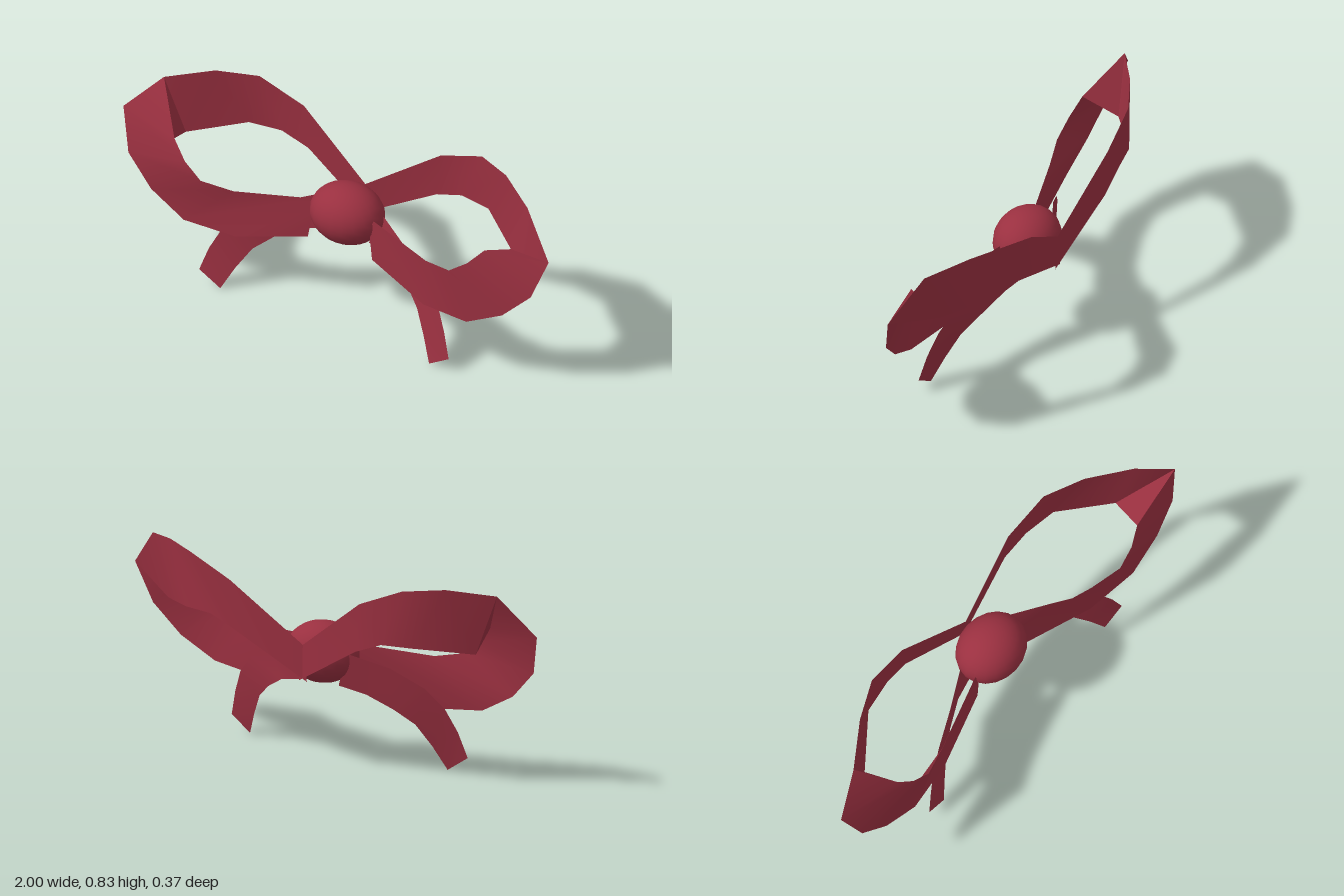
import * as THREE from 'three';
import { toCreasedNormals } from 'three/addons/utils/BufferGeometryUtils.js';

// Ribbon strip between two edges; side = -1 mirrors it across x = 0
function ribbon(sections, side, flipDiagonal) {
  const pos = [], idx = [];
  for (const [outer, inner] of sections) {
    for (const [x, y, z] of [outer, inner]) pos.push(x * side, y, z);
  }
  for (let i = 0; i < sections.length - 1; i++) {
    const a = 2 * i, b = a + 1, c = a + 2, d = a + 3;
    const tri = flipDiagonal ? [a, b, d, a, d, c] : [a, b, c, b, d, c];
    if (side < 0) tri.reverse();
    idx.push(...tri);
  }
  const g = new THREE.BufferGeometry();
  g.setAttribute('position', new THREE.Float32BufferAttribute(pos, 3));
  g.setIndex(idx);
  return toCreasedNormals(g, 0.7);
}

// Loop: from the back of the knot, round the outer tip, to the front
const loopSections = (tipZ) => [
  [[0.0, 0.51, -0.13], [-0.02, 0.36, -0.13]],
  [[0.32, 0.74, -0.185], [0.3, 0.54, -0.185]],
  [[0.52, 0.82, -0.172], [0.42, 0.585, -0.178]],
  [[0.68, 0.835, -0.095], [0.56, 0.587, -0.155]],
  [[0.85, 0.81, 0.02], [0.76, 0.56, 0.0]],
  [[1.0, 0.65, tipZ], [0.725, 0.632, 0.145]],
  [[0.94, 0.48, 0.145], [0.66, 0.56, 0.172]],
  [[0.82, 0.36, 0.168], [0.58, 0.5, 0.182]],
  [[0.66, 0.275, 0.18], [0.45, 0.475, 0.145]],
  [[0.44, 0.257, 0.148], [0.15, 0.497, 0.052]],
  [[0.15, 0.315, 0.065], [0.13, 0.45, 0.055]],
];

// Hanging tail: upper edge, lower edge
const tailSections = [
  [[0.14, 0.475, -0.03], [0.09, 0.33, -0.01]],
  [[0.3, 0.42, 0.05], [0.21, 0.305, 0.015]],
  [[0.43, 0.345, 0.105], [0.31, 0.25, 0.06]],
  [[0.505, 0.265, 0.14], [0.385, 0.19, 0.105]],
  [[0.55, 0.17, 0.167], [0.44, 0.1, 0.145]],
  [[0.583, 0.065, 0.188], [0.488, 0.003, 0.182]],
];

export function createModel() {
  const group = new THREE.Group();
  const red = new THREE.MeshStandardMaterial({ color: 0x9a3040, side: THREE.DoubleSide });
  red.name = 'dark red ribbon';
  const add = (name, geometry) => {
    const mesh = new THREE.Mesh(geometry, red);
    mesh.name = name;
    group.add(mesh);
    return mesh;
  };

  for (const side of [1, -1]) {
    const label = side > 0 ? 'left' : 'right';
    add(label + 'Loop', ribbon(loopSections(side > 0 ? 0.105 : 0.085), side, side < 0));
    add(label + 'Tail', ribbon(tailSections, side, side < 0));
  }

  // Rounded knot in the middle
  const knot = add('knot', new THREE.SphereGeometry(1, 20, 16));
  knot.scale.set(0.158, 0.126, 0.133);
  knot.position.set(0, 0.455, 0.007);
  return group;
}
